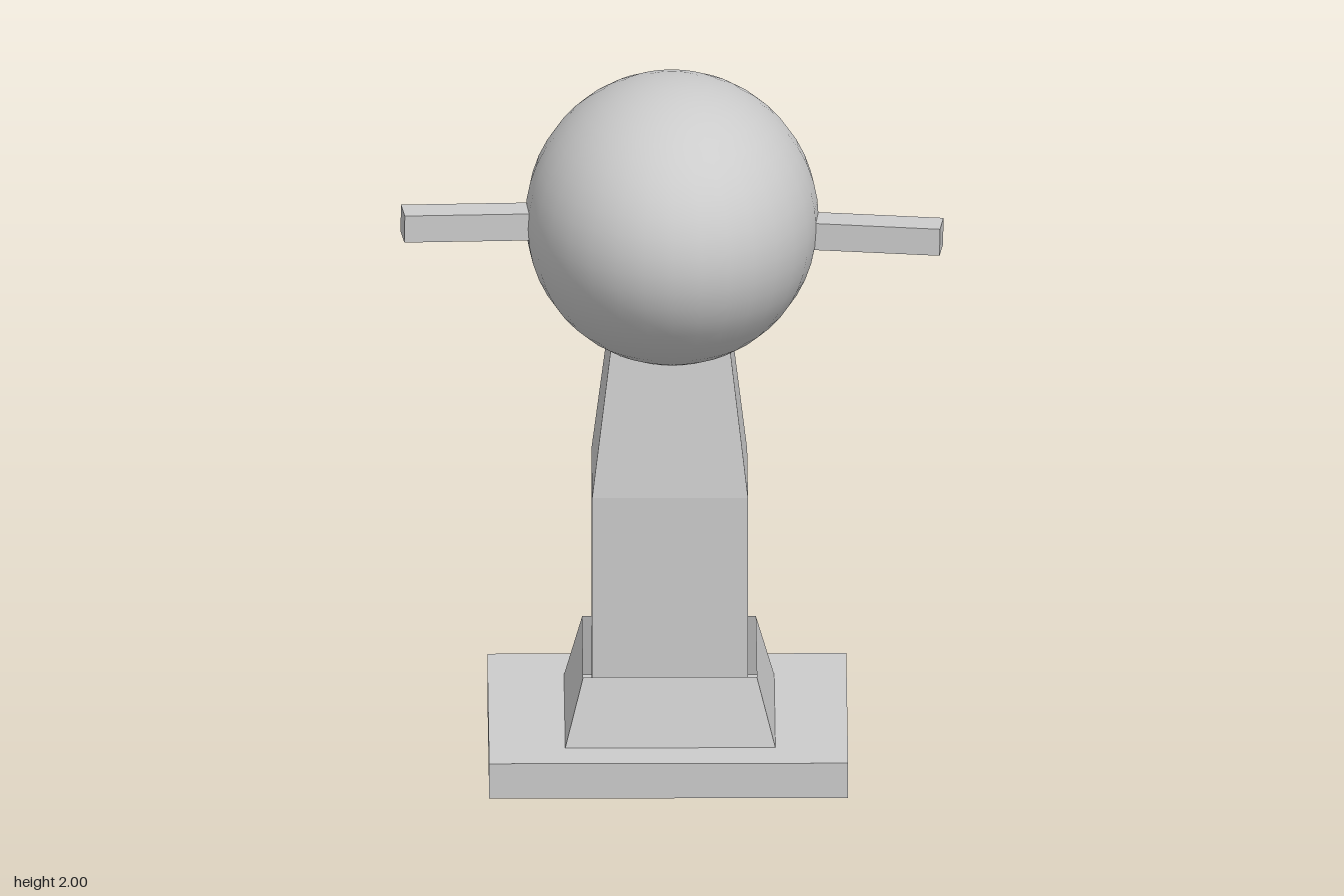
import * as THREE from 'three';

const material = new THREE.MeshStandardMaterial({ color: 0xcccccc });
const flat = new THREE.MeshStandardMaterial({ color: 0xcccccc, flatShading: true, side: THREE.DoubleSide });

// Stack of rectangular sections [y, xMin, xMax, zMin, zMax], with optional end caps
function rectLoft(sections, capped) {
  const pos = [];
  const index = [];
  for (const [y, x0, x1, z0, z1] of sections) {
    pos.push(x0, y, z1, x1, y, z1, x1, y, z0, x0, y, z0);
  }
  for (let s = 0; s < sections.length - 1; s++) {
    for (let i = 0; i < 4; i++) {
      const a = s * 4 + i, b = s * 4 + (i + 1) % 4;
      index.push(a, b, b + 4, a, b + 4, a + 4);
    }
  }
  if (capped) {
    const t = (sections.length - 1) * 4;
    index.push(0, 2, 1, 0, 3, 2, t, t + 1, t + 2, t, t + 2, t + 3);
  }
  const geometry = new THREE.BufferGeometry();
  geometry.setAttribute('position', new THREE.Float32BufferAttribute(pos, 3));
  geometry.setIndex(index);
  const result = geometry.toNonIndexed();
  result.computeVertexNormals();
  return result;
}

export function createModel() {
  const group = new THREE.Group();
  const add = (name, geometry, mat) => {
    const mesh = new THREE.Mesh(geometry, mat);
    mesh.name = name;
    group.add(mesh);
    return mesh;
  };

  // Square foot plate
  add('basePlate', rectLoft([
    [0, -0.527, 0.503, -0.513, 0.497],
    [0.105, -0.527, 0.503, -0.513, 0.497],
  ], true), flat);

  // Sloped collar, open at the top around the column
  add('collar', rectLoft([
    [0.105, -0.308, 0.295, -0.32, 0.353],
    [0.3, -0.256, 0.242, -0.264, 0.297],
  ], false), flat);

  // Column: straight shaft, then a taper running up into the head
  add('column', rectLoft([
    [0.105, -0.23, 0.217, -0.218, 0.233],
    [0.82, -0.23, 0.217, -0.218, 0.233],
    [1.3, -0.17, 0.16, -0.16, 0.172],
  ], true), flat);

  // Egg-shaped head, longer from front to back
  const head = add('head', new THREE.SphereGeometry(1, 32, 24), material);
  head.scale.set(0.421, 0.41, 0.544);
  head.position.set(0, 1.59, 0);

  // Arms: swept slightly forward, the pair tipped a little to one side
  for (const side of [1, -1]) {
    const arm = add(side > 0 ? 'leftArm' : 'rightArm', new THREE.BoxGeometry(0.45, 0.08, 0.105), flat);
    arm.position.set(side * 0.549, side > 0 ? 1.563 : 1.598, 0.065);
    arm.rotation.set(0, -side * 0.1, -0.017);
  }

  return group;
}
